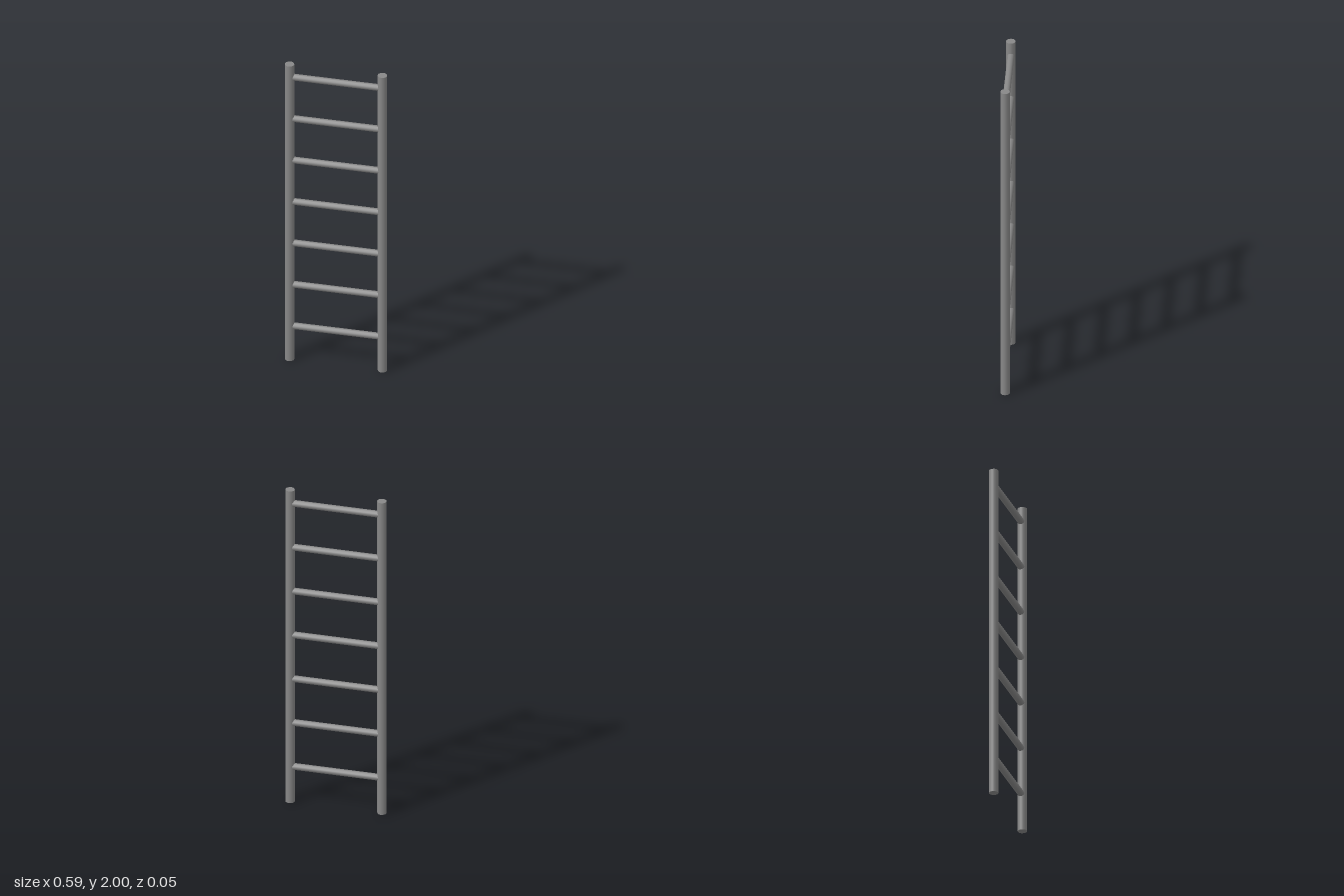
import * as THREE from 'three';

export function createModel() {
  const ladder = new THREE.Group();
  ladder.name = 'ladder';
  const material = new THREE.MeshStandardMaterial({ color: 0x888888 });
  const railX = 0.267;

  // Two upright round rails
  const railGeometry = new THREE.CylinderGeometry(0.027, 0.027, 2, 12);
  for (const [name, side] of [['leftRail', 1], ['rightRail', -1]]) {
    const rail = new THREE.Mesh(railGeometry, material);
    rail.name = name;
    rail.position.set(side * railX, 1, 0);
    ladder.add(rail);
  }

  // Seven evenly spaced rungs, ending inside the rails
  const rungGeometry = new THREE.CylinderGeometry(0.0195, 0.0195, 2 * railX, 12);
  rungGeometry.rotateZ(Math.PI / 2);
  for (let i = 0; i < 7; i++) {
    const rung = new THREE.Mesh(rungGeometry, material);
    rung.name = `rung${i + 1}`;
    rung.position.set(0, 0.226 + i * 0.2813, -0.0015);
    ladder.add(rung);
  }

  return ladder;
}
